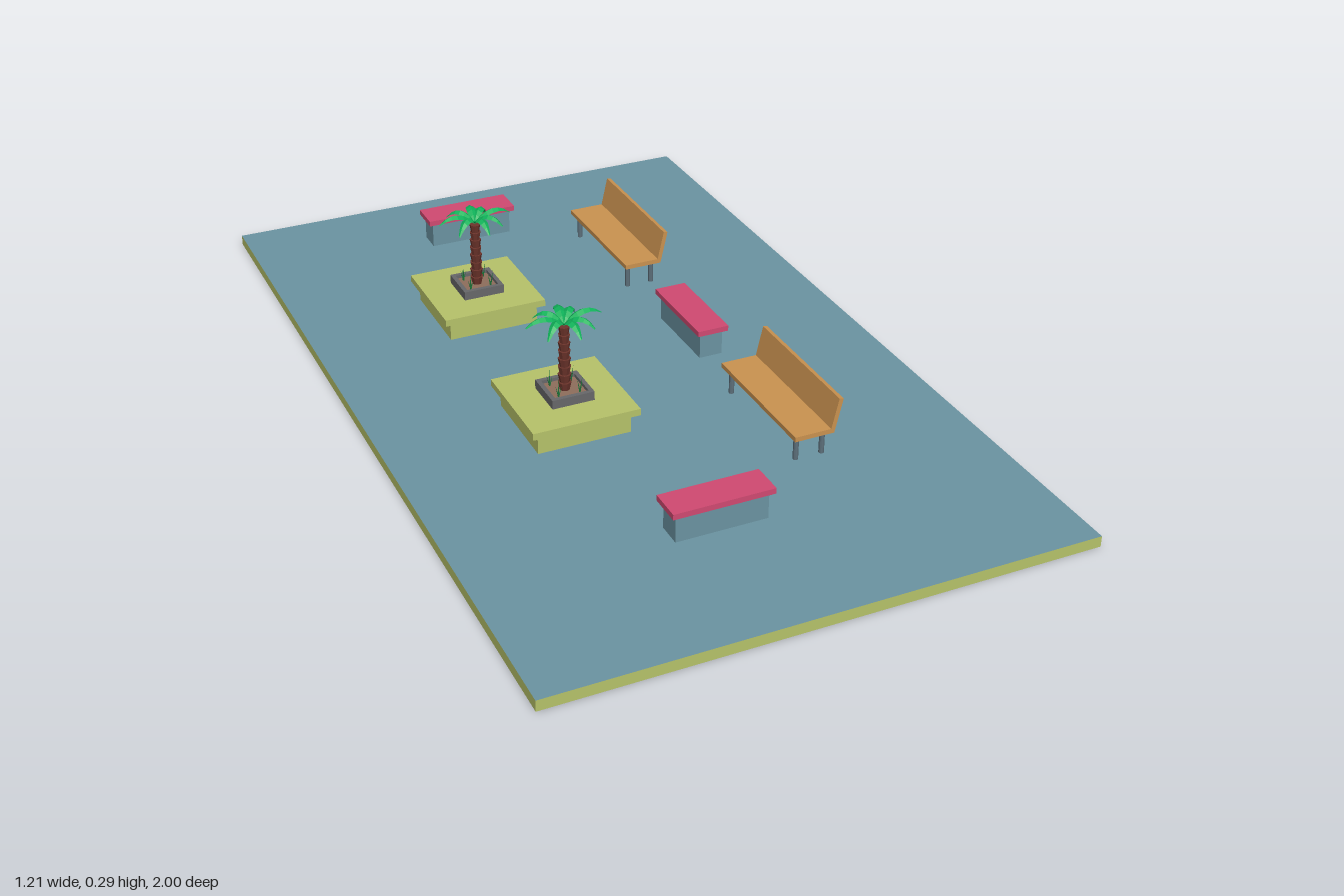
import * as THREE from 'three';
import { mergeGeometries } from 'three/addons/utils/BufferGeometryUtils.js';

const mat = (color, extra = {}) => {
  const m = new THREE.MeshStandardMaterial({ flatShading: true, ...extra });
  m.color.set(color);
  return m;
};
const paving = mat(0x6b94a2), lime = mat(0xb7c36a), pink = mat(0xd14a72), wood = mat(0xcb9350);
const steel = mat(0x5c6f7a), stone = mat(0x68686a), soil = mat(0x8f6f5c), bark = mat(0x6e352c);
const leaf = mat(0x10b35a, { side: THREE.DoubleSide }), grass = mat(0x1f7a3c);

const GROUND = 0.025;

function add(parent, name, geometry, material, x = 0, y = 0, z = 0) {
  const mesh = new THREE.Mesh(geometry, material);
  mesh.name = name;
  mesh.position.set(x, y, z);
  parent.add(mesh);
  return mesh;
}

// Box given by its footprint and its bottom and top heights
function block(parent, name, material, w, d, y0, y1, x = 0, z = 0) {
  return add(parent, name, new THREE.BoxGeometry(w, y1 - y0, d), material, x, (y0 + y1) / 2, z);
}

function place(parent, name, x, z, turn = 0) {
  const g = new THREE.Group();
  g.name = name;
  g.position.set(x, 0, z);
  g.rotation.y = turn;
  parent.add(g);
  return g;
}

// Arching leaf with a raised midrib, running out along +x
function frondGeometry(length, droop) {
  const steps = 6, pos = [], index = [];
  for (let i = 0; i <= steps; i++) {
    const t = i / steps;
    const x = length * t;
    const y = 0.085 * t * (1 - t) + 0.02 * t - droop * t * t;
    const w = 0.002 + 0.0095 * Math.sin(Math.PI * Math.pow(t, 0.8)) * (t < 1 ? 1 : 0);
    pos.push(x, y - w * 0.6, -w, x, y, 0, x, y - w * 0.6, w);
    if (i === steps) break;
    for (let j = 0; j < 2; j++) {
      const a = i * 3 + j;
      index.push(a, a + 1, a + 4, a, a + 4, a + 3);
    }
  }
  const g = new THREE.BufferGeometry();
  g.setAttribute('position', new THREE.Float32BufferAttribute(pos, 3));
  g.setIndex(index);
  g.computeVertexNormals();
  return g;
}

function palm(parent) {
  const tree = place(parent, 'palm', 0, 0);
  // Trunk of stacked flaring bark rings
  const rings = [], count = 8, h = 0.155 / count;
  for (let i = 0; i < count; i++) {
    const r = 0.0155 - 0.003 * i / count;
    const ring = new THREE.CylinderGeometry(r, r * 0.72, h, 8);
    ring.rotateY(i * 0.4);
    ring.translate(0, 0.1 + h * (i + 0.5), 0);
    rings.push(ring);
  }
  add(tree, 'trunk', mergeGeometries(rings), bark);
  // Crown
  const lengths = [0.087, 0.072, 0.076, 0.07, 0.088, 0.07, 0.075, 0.073];
  const crown = lengths.map((len, i) => {
    const g = frondGeometry(len, 0.008 + 0.006 * ((i * 3) % 4));
    g.rotateY(i * Math.PI / 4 + 0.12 * Math.sin(i * 2.3));
    return g.translate(0, 0.258, 0);
  });
  add(tree, 'fronds', mergeGeometries(crown), leaf);
}

function planter(parent, x, z) {
  const g = place(parent, 'planter', x, z);
  block(g, 'planterBase', lime, 0.216, 0.216, GROUND, 0.071);
  block(g, 'planterSlab', lime, 0.248, 0.246, 0.071, 0.087);
  // Square kerb around the soil
  const square = (S, s) => new S([[-s, -s], [s, -s], [s, s], [-s, s]].map(p => new THREE.Vector2(...p)));
  const frame = square(THREE.Shape, 0.049);
  frame.holes.push(square(THREE.Path, 0.039));
  const kerb = new THREE.ExtrudeGeometry(frame, { depth: 0.021, bevelEnabled: false });
  add(g, 'kerb', kerb.rotateX(-Math.PI / 2), stone, 0, 0.087, 0);
  block(g, 'soil', soil, 0.078, 0.078, 0.087, 0.1);
  palm(g);
  // Grass tufts in the corners
  const blades = [];
  for (const sx of [-1, 1]) for (const sz of [-1, 1]) for (let i = 0; i < 4; i++) {
    const len = 0.026 + 0.006 * ((i * 2 + sx + 1) % 4);
    const b = new THREE.ConeGeometry(0.002, len, 3).translate(0, len / 2, 0);
    b.rotateZ(0.25).rotateY(i * Math.PI / 2 + 0.5 * sx);
    blades.push(b.translate(sx * 0.025, 0.1, sz * 0.025));
  }
  add(g, 'grass', mergeGeometries(blades), grass);
}

// Low seat on a solid plinth, long along x before turning
function blockBench(parent, x, z, turn) {
  const g = place(parent, 'blockBench', x, z, turn);
  block(g, 'plinth', paving, 0.207, 0.056, GROUND, 0.087);
  block(g, 'blockSeat', pink, 0.228, 0.076, 0.087, 0.1);
}

// Wooden bench, long along z, with its leaning back on the +x side
function woodBench(parent, z) {
  const g = place(parent, 'woodBench', 0.218, z);
  block(g, 'seat', wood, 0.092, 0.338, 0.082, 0.093);
  const profile = new THREE.Shape([[0.037, 0.082], [0.047, 0.082], [0.065, 0.161], [0.055, 0.163]]
    .map(p => new THREE.Vector2(...p)));
  add(g, 'backrest', new THREE.ExtrudeGeometry(profile, { depth: 0.338, bevelEnabled: false }), wood, 0, 0, -0.169);
  for (const x of [-0.031, 0.031]) for (const s of [-1, 1])
    add(g, 'leg', new THREE.CylinderGeometry(0.006, 0.006, 0.058, 12), steel, x, 0.054, s * 0.147);
}

export function createModel() {
  const model = new THREE.Group();
  model.name = 'plaza';

  // Lime base with a paved top face (+y is the third box group)
  add(model, 'ground', new THREE.BoxGeometry(1.21, GROUND, 2),
    [lime, lime, paving, lime, lime, lime], 0, GROUND / 2, 0);

  for (const z of [-0.377, 0.158]) planter(model, -0.192, z);
  for (const z of [-0.493, 0.357]) woodBench(model, z);
  blockBench(model, -0.071, -0.77, 0);
  blockBench(model, -0.071, 0.645, 0);
  blockBench(model, 0.219, -0.06, Math.PI / 2);
  return model;
}
